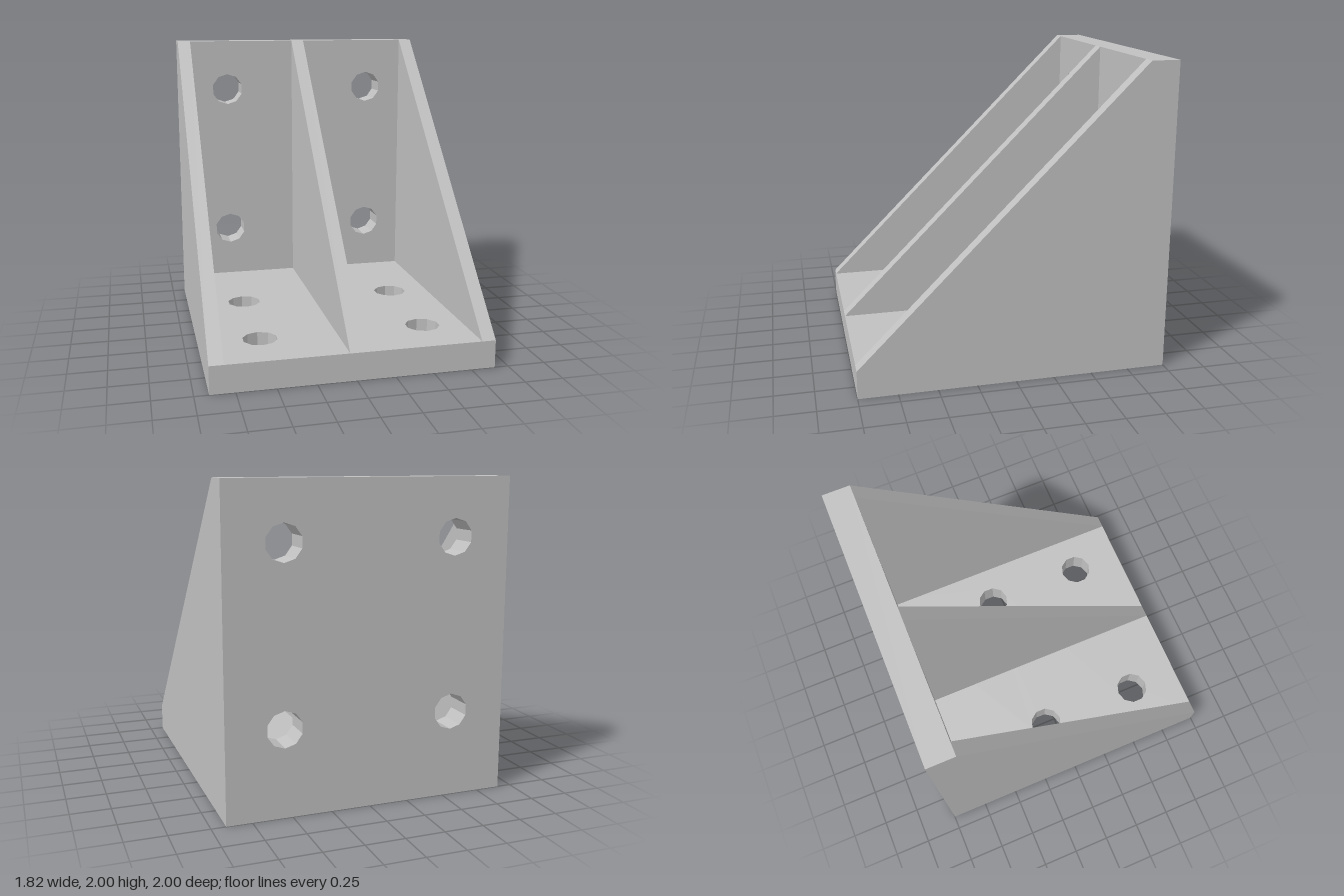
import * as THREE from 'three';

const HALF_W = 0.909, T = 0.182, RIB = 0.091, HOLE_R = 0.114, HOLE_X = 0.545;

// Flat plate between two heights, with a pair of bolt holes in each given row
function plateGeometry(bottom, top, rows) {
  const shape = new THREE.Shape([
    new THREE.Vector2(-HALF_W, bottom), new THREE.Vector2(HALF_W, bottom),
    new THREE.Vector2(HALF_W, top), new THREE.Vector2(-HALF_W, top),
  ]);
  for (const x of [-HOLE_X, HOLE_X]) {
    for (const y of rows) {
      const points = [];
      for (let i = 0; i < 10; i++) {
        const a = ((i + 0.5) / 10) * Math.PI * 2;
        points.push(new THREE.Vector2(x + HOLE_R * Math.cos(a), y + HOLE_R * Math.sin(a)));
      }
      shape.holes.push(new THREE.Path(points));
    }
  }
  return new THREE.ExtrudeGeometry(shape, { depth: T, bevelEnabled: false });
}

export function createModel() {
  const group = new THREE.Group();
  const grey = new THREE.MeshStandardMaterial({ color: 0xc0c0c0 });
  grey.name = 'light grey';

  const add = (name, geometry) => {
    const mesh = new THREE.Mesh(geometry, grey);
    mesh.name = name;
    group.add(mesh);
    return mesh;
  };

  // Base plate lies flat: the plate's y becomes -z
  add('basePlate', plateGeometry(-1, 1, [-0.635, 0.092]).rotateX(-Math.PI / 2));

  // Upright plate stands on the back edge of the base
  add('uprightPlate', plateGeometry(T, 2, [0.546, 1.638])).position.z = -1;

  // Three triangular ribs brace the two plates
  const profile = new THREE.Shape([
    new THREE.Vector2(-1 + T, T), new THREE.Vector2(1, T), new THREE.Vector2(-1 + T, 2),
  ]);
  const rib = new THREE.ExtrudeGeometry(profile, { depth: RIB, bevelEnabled: false })
    .translate(0, 0, -RIB / 2)
    .rotateY(-Math.PI / 2);
  const edge = HALF_W - RIB / 2;
  add('rightRib', rib).position.x = -edge;
  add('middleRib', rib);
  add('leftRib', rib).position.x = edge;

  return group;
}
